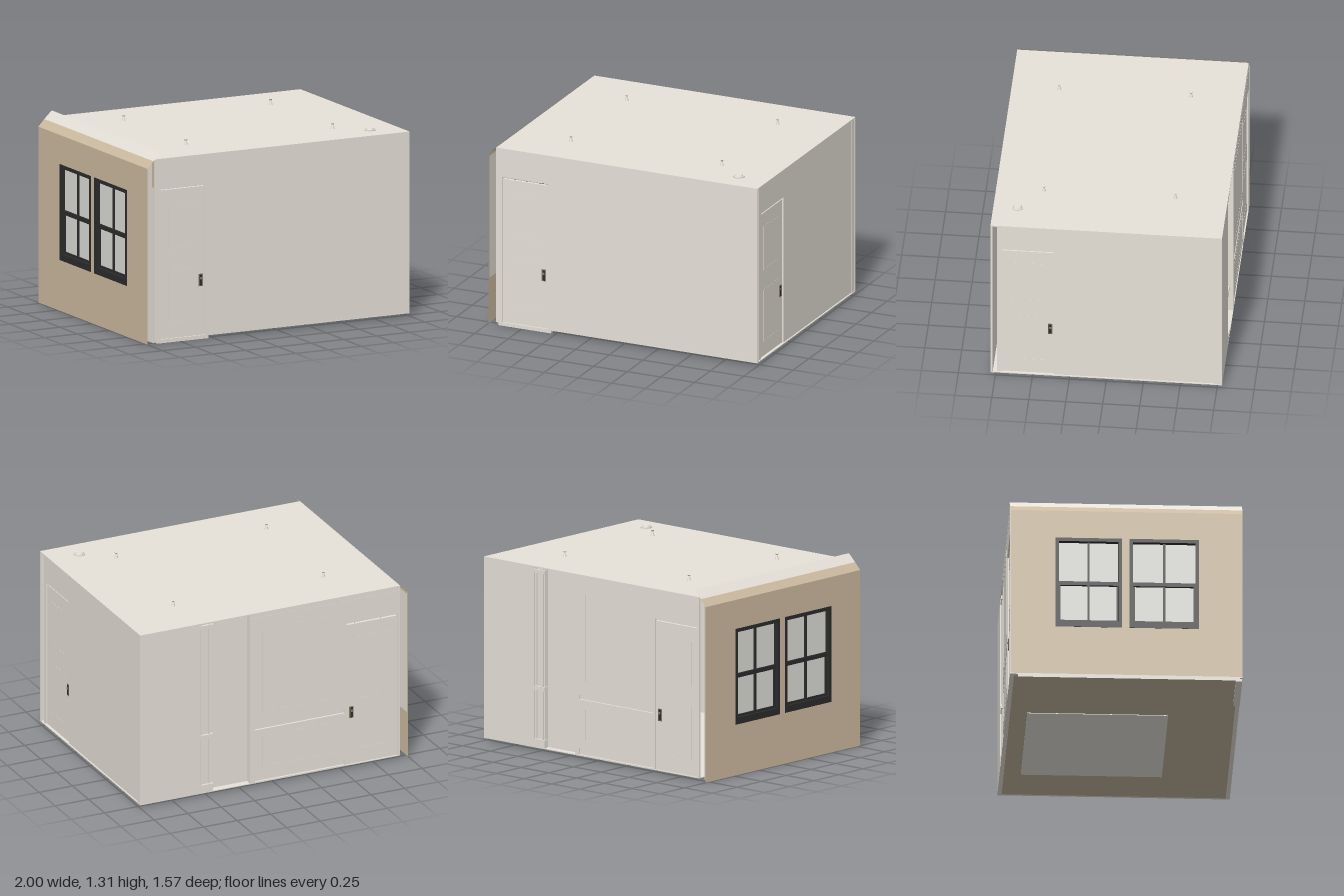
import * as THREE from 'three';

const mat = (name, color) =>
  new THREE.MeshStandardMaterial({ name, color, side: THREE.DoubleSide });

export function createModel() {
  const beige = mat('beige plaster', 0xe6e1d8);
  const tan = mat('tan exterior', 0xcebca1);
  const black = mat('black window frame', 0x2c2c2d);
  const glass = mat('grey glass', 0xdededa);
  const brown = mat('brown floor', 0xc1b39c);
  const grey = mat('grey rug', 0xe3e1db);
  const brass = mat('dull brass', 0x8a8269);

  const room = new THREE.Group();
  room.name = 'room';

  // One group per side; local x runs along the wall, local z points outward
  const side = (name, turn) => {
    const g = new THREE.Group();
    g.name = name;
    g.rotation.y = turn;
    room.add(g);
    return g;
  };
  const front = side('frontSide', 0);
  const right = side('doorSide', Math.PI / 2);
  const back = side('backSide', Math.PI);
  const left = side('windowSide', -Math.PI / 2);

  const put = (parent, name, geometry, material) => {
    const m = new THREE.Mesh(geometry, material);
    m.name = name;
    parent.add(m);
    return m;
  };
  // Box given by its limits
  const box = (parent, name, material, x0, x1, y0, y1, z0, z1) => {
    const m = put(parent, name, new THREE.BoxGeometry(x1 - x0, y1 - y0, z1 - z0), material);
    m.position.set((x0 + x1) / 2, (y0 + y1) / 2, (z0 + z1) / 2);
    return m;
  };
  const rect = (T, [x0, x1, y0, y1]) =>
    new T([[x0, y0], [x1, y0], [x1, y1], [x0, y1]].map(p => new THREE.Vector2(...p)));
  // Upright sheet with rectangular holes, from z0 out to z1 (flat when equal)
  const sheet = (parent, name, material, outline, holes, z0, z1 = z0) => {
    const s = rect(THREE.Shape, outline);
    s.holes = holes.map(h => rect(THREE.Path, h));
    const geo = z1 > z0
      ? new THREE.ExtrudeGeometry(s, { depth: z1 - z0, bevelEnabled: false })
      : new THREE.ShapeGeometry(s);
    const m = put(parent, name, geo, material);
    m.position.z = z0;
    return m;
  };

  // Two-panel door with lock plate and knob, set back inside the wall face
  const door = (parent, u0, u1, hu, z) => {
    const g = new THREE.Group();
    g.name = 'door';
    parent.add(g);
    box(g, 'doorLeaf', beige, u0, u1, 0.02, 1.05, z - 0.03, z - 0.01);
    [[0.13, 0.5], [0.64, 0.95]].forEach(([y0, y1]) => {
      const o = [u0 + 0.06, u1 - 0.06, y0, y1];
      sheet(g, 'doorPanelTrim', beige, o,
        [[o[0] + 0.006, o[1] - 0.006, y0 + 0.006, y1 - 0.006]], z - 0.01, z - 0.009);
    });
    box(g, 'lockPlate', brass, hu - 0.016, hu + 0.016, 0.363, 0.447, z - 0.01, z - 0.006);
    box(g, 'lockInlay', black, hu - 0.01, hu + 0.01, 0.368, 0.442, z - 0.006, z - 0.004);
    const knob = put(g, 'doorKnob', new THREE.CylinderGeometry(0.009, 0.007, 0.005, 12), brass);
    knob.rotation.x = Math.PI / 2;
    knob.position.set(hu, 0.418, z - 0.002);
  };

  // Front wall in two parts, the second a touch further back
  sheet(front, 'frontWall', beige, [-0.94, 0.146, 0.02, 1.27],
    [[-0.895, -0.56, 0.021, 1.065]], 0.768, 0.783);
  sheet(front, 'frontWallSetBack', beige, [0.146, 1, 0.02, 1.27], [], 0.768, 0.781);
  door(front, -0.895, -0.56, -0.59, 0.783);
  box(front, 'threshold', beige, -0.925, -0.535, 0, 0.021, 0.74, 0.783);

  // Side wall with door
  sheet(right, 'doorWall', beige, [-0.74, 0.73, 0.02, 1.27],
    [[-0.71, -0.35, 0.021, 1.065]], 0.975, 0.99);
  door(right, -0.71, -0.35, -0.38, 0.99);
  box(right, 'cornerPost', beige, 0.73, 0.773, 0.02, 1.27, 0.98, 0.995);

  // Back wall: door part, set-back niche and plain part
  sheet(back, 'backWall', beige, [-0.18, 0.94, 0.02, 1.27], [
    [0.54, 0.92, 0.021, 1.065],
    [-0.145, 0.525, 0.41, 0.44],
    [-0.145, 0.525, 0.03, 0.075],
  ], 0.768, 0.783);
  sheet(back, 'railBacking', beige, [-0.16, 0.535, 0.022, 0.5], [], 0.76, 0.764);
  door(back, 0.54, 0.92, 0.58, 0.783);
  sheet(back, 'nicheWall', beige, [-0.47, -0.18, 0.02, 1.27], [], 0.73, 0.735);
  box(back, 'nicheReturn', beige, -0.18, -0.175, 0.02, 1.27, 0.73, 0.783);
  sheet(back, 'plainBackWall', beige, [-1, -0.55, 0.02, 1.27], [], 0.773, 0.783);

  // Picture-frame mouldings and cornice line on the back wall
  [[0.13, 0.36], [0.53, 1.15]].forEach(([y0, y1]) =>
    sheet(back, 'wallMoulding', beige, [-0.09, 0.47, y0, y1],
      [[-0.082, 0.462, y0 + 0.008, y1 - 0.008]], 0.783, 0.784));
  box(back, 'cornice', beige, -0.18, 0.94, 1.215, 1.235, 0.783, 0.784);

  // Pilaster with collars beside the niche
  box(back, 'pilaster', beige, -0.555, -0.465, 0.02, 1.27, 0.73, 0.766);
  [-0.545, -0.485].forEach(u =>
    box(back, 'pilasterRib', beige, u, u + 0.012, 0.02, 1.27, 0.766, 0.776));
  [[0.02, 0.08], [0.415, 0.445], [1.225, 1.25]].forEach(([y0, y1]) =>
    box(back, 'pilasterCollar', beige, -0.56, -0.455, y0, y1, 0.75, 0.782));

  // Window wall: inner skin, outer skin and the lining behind the outer skin
  const windows = [[-0.48, -0.03], [0.02, 0.49]].map(([a, b]) => [a, b, 0.35, 1.01]);
  sheet(left, 'innerWindowWall', beige, [-0.73, 0.74, 0, 1.27], windows, 0.94);
  sheet(left, 'outerWindowWall', tan, [-0.783, 0.783, 0, 1.21], windows, 0.998);
  sheet(left, 'outerWallLining', beige, [-0.783, 0.783, 0.33, 1.2], windows, 0.99);
  sheet(left, 'cornerFillTop', tan, [0.74, 0.768, 1.07, 1.27], [], 0.94);
  sheet(left, 'cornerFill', beige, [0.74, 0.768, 0, 1.07], [], 0.94);

  // Double-hung windows with four panes each
  windows.forEach(o => {
    const [a, b, y0, y1] = o;
    const g = new THREE.Group();
    g.name = 'window';
    left.add(g);
    const mid = (a + b) / 2, rail = 0.68, f = 0.025;
    sheet(g, 'windowFrame', black, o, [[a + f, b - f, y0 + 0.045, y1 - f]], 0.94, 1);
    box(g, 'meetingRail', black, a + f, b - f, rail - 0.014, rail + 0.014, 0.955, 0.985);
    box(g, 'glazingBar', black, mid - 0.007, mid + 0.007, y0 + 0.04, y1 - f, 0.957, 0.98);
    sheet(g, 'lowerSash', black, [a + f, b - f, y0 + 0.045, rail],
      [[a + f + 0.012, b - f - 0.012, y0 + 0.06, rail - 0.01]], 0.957, 0.978);
    box(g, 'glassPane', glass, a + 0.01, b - 0.01, y0 + 0.02, y1 - 0.02, 0.962, 0.968);
  });

  // Sloping eave: tan lower band, beige upper band
  const slope = (name, material, x0, y0, x1, y1) => {
    const m = put(room, name,
      new THREE.PlaneGeometry(Math.hypot(x1 - x0, y1 - y0), 1.566).rotateX(-Math.PI / 2), material);
    m.rotation.z = Math.atan2(y1 - y0, x1 - x0);
    m.position.set((x0 + x1) / 2, (y0 + y1) / 2, 0);
  };
  slope('eaveLower', tan, -0.998, 1.21, -0.953, 1.258);
  slope('eaveUpper', beige, -0.953, 1.258, -0.897, 1.312);

  // Roof, floor inside a plaster sill, niche ledge and rug
  box(room, 'ceiling', beige, -0.94, 1, 1.262, 1.27, -0.783, 0.783);
  box(room, 'floorSill', beige, -0.94, 1, 0.02, 0.026, -0.783, 0.783);
  box(room, 'floor', brown, -0.915, 0.975, 0.017, 0.02, -0.755, 0.755);
  box(room, 'rug', grey, -0.33, 0.65, 0.013, 0.018, -0.64, 0.31);

  // Flared lamp sockets on the roof
  for (const x of [-0.535, 0.585]) for (const z of [-0.43, 0.46]) {
    const g = new THREE.Group();
    g.name = 'lampSocket';
    g.position.set(x, 1.27, z);
    room.add(g);
    put(g, 'socketCone', new THREE.CylinderGeometry(0.005, 0.013, 0.03, 16), beige).position.y = 0.015;
    put(g, 'socketCap', new THREE.CylinderGeometry(0.012, 0.006, 0.01, 16), beige).position.y = 0.035;
  }

  // Round detector housing in two tiers
  const detector = new THREE.Group();
  detector.name = 'detector';
  detector.position.set(0.785, 1.27, 0.62);
  room.add(detector);
  put(detector, 'detectorBase', new THREE.CylinderGeometry(0.038, 0.038, 0.008, 24), beige).position.y = 0.004;
  put(detector, 'detectorTop', new THREE.CylinderGeometry(0.027, 0.03, 0.01, 24), beige).position.y = 0.013;

  return room;
}
